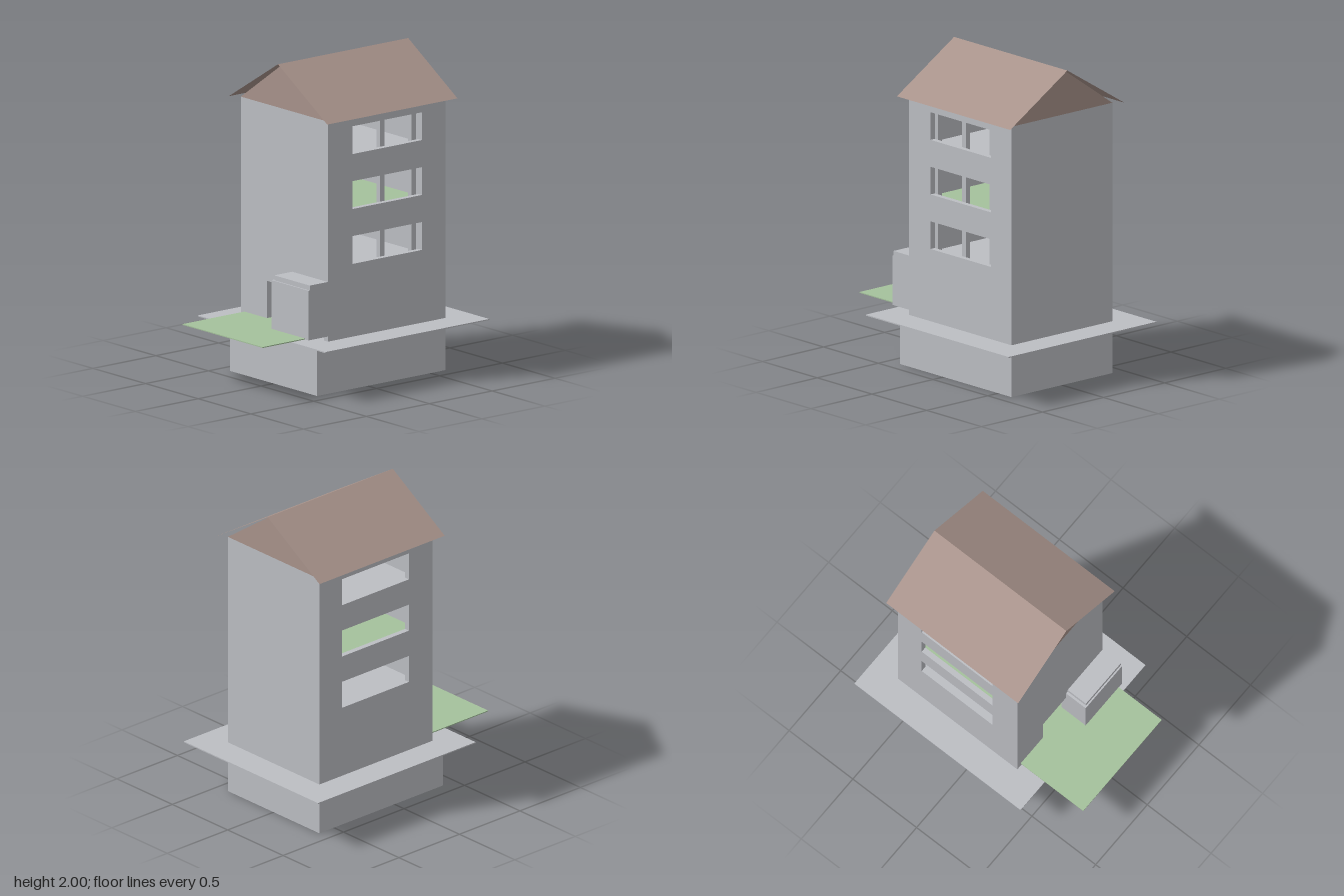
import * as THREE from 'three';

const wallGrey = new THREE.MeshStandardMaterial({ color: 0xbcbec3, name: 'wallGrey' });
const roofBrown = new THREE.MeshStandardMaterial({ color: 0xa8938b, name: 'roofBrown', side: THREE.DoubleSide });
const lawnGreen = new THREE.MeshStandardMaterial({ color: 0xa5c29c, name: 'lawnGreen' });

// Shared building dimensions
const HALF = 0.413, BACK = -0.62, FRONT = 0.315, BASE = 0.325, EAVES = 1.71, RIDGE = 2, WALL = 0.035;
const INNER = HALF - WALL;
const STOREY = 0.345;

export function createModel() {
  const model = new THREE.Group();
  model.name = 'towerHouse';

  const add = (name, geometry, material) => {
    const mesh = new THREE.Mesh(geometry, material);
    mesh.name = name;
    model.add(mesh);
    return mesh;
  };

  // Box given by its minimum and maximum on each axis
  const block = (name, material, x0, x1, y0, y1, z0, z1) => {
    const mesh = add(name, new THREE.BoxGeometry(x1 - x0, y1 - y0, z1 - z0), material);
    mesh.position.set((x0 + x1) / 2, (y0 + y1) / 2, (z0 + z1) / 2);
    return mesh;
  };

  const rectangle = (ShapeType, u0, u1, v0, v1) => new ShapeType([
    new THREE.Vector2(u0, v0), new THREE.Vector2(u1, v0),
    new THREE.Vector2(u1, v1), new THREE.Vector2(u0, v1),
  ]);

  // Wall panel with rectangular openings, extruded along +z
  const panel = (u0, u1, openings) => {
    const shape = rectangle(THREE.Shape, u0, u1, BASE, EAVES);
    openings.forEach(o => shape.holes.push(rectangle(THREE.Path, ...o)));
    return new THREE.ExtrudeGeometry(shape, { depth: WALL, bevelEnabled: false });
  };

  // Basement and the thin ground plate around the house
  block('basement', wallGrey, -HALF, HALF, 0, 0.321, BACK, 0.4);
  block('groundPlate', wallGrey, -0.605, 0.605, 0.321, 0.328, -0.808, 0.496);

  // Front wall with the doorway and the opening into the porch; plain back wall
  add('frontWall', panel(-HALF, HALF, [
    [-0.165, 0.06, BASE + 0.002, 0.6],
    [0.085, INNER, BASE + 0.002, 0.66],
  ]), wallGrey).position.z = FRONT - WALL;
  add('backWall', panel(-HALF, HALF, []), wallGrey).position.z = BACK;

  // Side walls with three long windows each
  const windows = [0, 1, 2].map(i => {
    const sill = 0.785 + i * STOREY;
    return [-0.12, 0.435, sill, sill + 0.175];
  });
  for (const side of [-1, 1]) {
    const wall = add(side > 0 ? 'leftWall' : 'rightWall',
      panel(-FRONT + WALL, -BACK - WALL, windows), wallGrey);
    wall.rotation.y = Math.PI / 2; // panel width runs towards -z
    wall.position.x = side > 0 ? INNER : -HALF;
  }

  // Storey floors, the middle one finished in green
  for (let i = 0; i < 3; i++) {
    const y = 0.71 + i * STOREY;
    block('floor', wallGrey, -INNER, INNER, y - 0.02, y, BACK + WALL, FRONT - WALL);
    if (i === 1) block('greenFloor', lawnGreen, -INNER, INNER, y, y + 0.006, BACK + WALL, FRONT - WALL);
    // Ceiling joists below the upper floors
    if (i > 0) {
      for (let z = BACK + 0.07; z < FRONT - 0.06; z += 0.06) {
        block('joist', roofBrown, -INNER, INNER, y - 0.06, y - 0.02, z, z + 0.022);
      }
    }
    // Slim posts behind the windows
    for (const z of [0.107, -0.147, -0.397]) {
      block('post', wallGrey, 0.345, INNER, y, y + STOREY - 0.06, z - 0.017, z + 0.017);
    }
  }
  block('ceiling', wallGrey, -INNER, INNER, 1.675, EAVES - 0.002, BACK + WALL, FRONT - WALL);

  // Low block just inside the doorway
  block('hallBlock', wallGrey, -0.2, -0.13, 0.328, 0.49, -0.1, 0.1);

  // Hollow porch with a slightly stepped-in cap
  block('porchFront', wallGrey, 0.06, HALF, 0.36, 0.672, 0.44, 0.468);
  block('porchSide', wallGrey, 0.06, 0.085, 0.36, 0.672, FRONT, 0.44);
  block('porchSide', wallGrey, INNER, HALF, 0.36, 0.672, FRONT, 0.44);
  block('porchCap', wallGrey, 0.075, HALF, 0.672, 0.703, FRONT, 0.458);

  // Lawn mat running out of the entrance
  block('lawn', lawnGreen, -0.38, 0.38, 0.36, 0.366, -0.06, 0.805);

  // Triangular gables flush with the end walls
  const gable = new THREE.ShapeGeometry(new THREE.Shape([
    new THREE.Vector2(-HALF, EAVES), new THREE.Vector2(HALF, EAVES), new THREE.Vector2(0, RIDGE),
  ]));
  add('frontGable', gable, roofBrown).position.z = FRONT;
  const backGable = add('backGable', gable, roofBrown);
  backGable.position.z = BACK;
  backGable.rotation.y = Math.PI;

  // Roof sheets, overhanging on all sides
  const eave = 0.468, length = 1.035;
  const slope = Math.atan2(RIDGE - EAVES, eave);
  for (const side of [-1, 1]) {
    const sheet = new THREE.PlaneGeometry(Math.hypot(eave, RIDGE - EAVES), length);
    sheet.rotateX(-Math.PI / 2).rotateZ(-side * slope);
    add('roofSheet', sheet, roofBrown)
      .position.set(side * eave / 2, (RIDGE + EAVES) / 2, -0.152);
  }

  return model;
}
